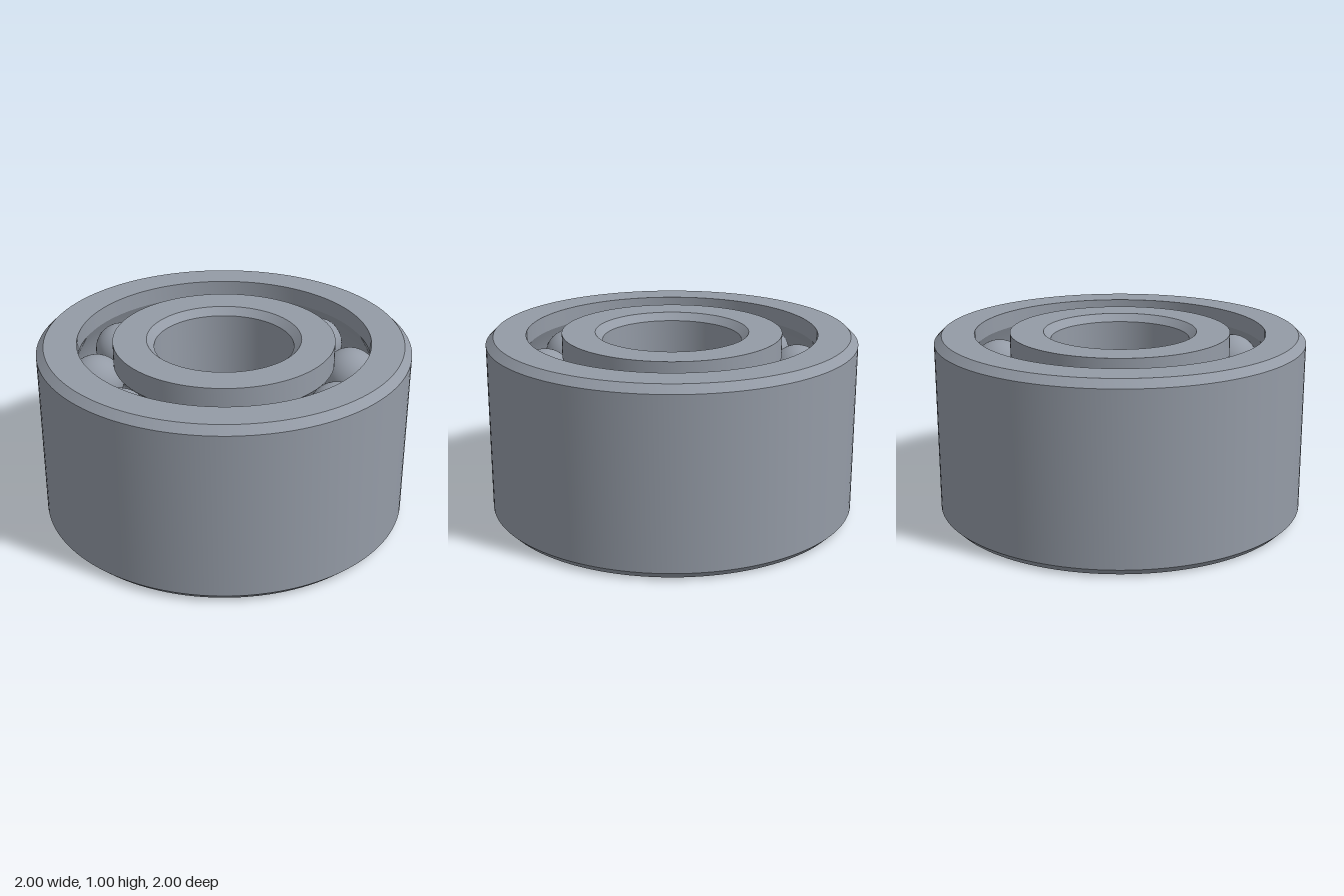
import * as THREE from 'three';
import { toCreasedNormals } from 'three/addons/utils/BufferGeometryUtils.js';

const MID = 0.5;            // mid height of the bearing
const CHAMFER = 0.04;
const BALL_R = 0.147;
const PITCH_R = 0.69;       // radius of the circle of ball centres
const ROW_OFFSET = 0.26;    // height of each ball row from the middle
const OUTER_BORE = 0.785;
const INNER_OD = 0.595;
const BORE = 0.375;
const BALLS = 10;

// Arc points (radius, height) around a centre on the profile plane
function arc(cr, cy, radius, from, to, steps) {
  return Array.from({ length: steps + 1 }, (_, i) => {
    const a = from + (to - from) * i / steps;
    return [cr + Math.cos(a) * radius, cy + Math.sin(a) * radius];
  });
}

// Revolve a closed counterclockwise profile, keeping its edges sharp
function ring(name, profile, material) {
  const points = [...profile, profile[0]].map(([r, y]) => new THREE.Vector2(r, y));
  const mesh = new THREE.Mesh(toCreasedNormals(new THREE.LatheGeometry(points, 128), 0.4), material);
  mesh.name = name;
  return mesh;
}

export function createModel() {
  const group = new THREE.Group();
  group.name = 'selfAligningBallBearing';
  const steel = new THREE.MeshStandardMaterial({ color: 0x949ba6 });
  steel.name = 'steel';

  // Outer ring: chamfered outside, spherical raceway inside
  const raceR = Math.hypot(PITCH_R, ROW_OFFSET) + BALL_R;
  const raceA = Math.acos(OUTER_BORE / raceR);
  group.add(ring('outerRing', [
    [1 - CHAMFER, 0], [1, CHAMFER], [1, 1 - CHAMFER], [1 - CHAMFER, 1],
    [OUTER_BORE, 1],
    ...arc(0, MID, raceR, raceA, -raceA, 16),
    [OUTER_BORE, 0],
  ], steel));

  // Inner ring: two ball grooves outside, chamfered bore
  const grooveA = Math.acos((PITCH_R - INNER_OD) / BALL_R);
  const groove = (y) => arc(PITCH_R, y, BALL_R, Math.PI + grooveA, Math.PI - grooveA, 14);
  group.add(ring('innerRing', [
    [INNER_OD, 0],
    ...groove(MID - ROW_OFFSET),
    ...groove(MID + ROW_OFFSET),
    [INNER_OD, 1],
    [BORE + CHAMFER, 1], [BORE, 1 - CHAMFER], [BORE, CHAMFER], [BORE + CHAMFER, 0],
  ], steel));

  // Two aligned rows of balls
  const ballGeometry = new THREE.SphereGeometry(BALL_R, 40, 24);
  for (const side of [-1, 1]) {
    const row = new THREE.Group();
    row.name = side > 0 ? 'upperBallRow' : 'lowerBallRow';
    row.position.y = MID + side * ROW_OFFSET;
    for (let i = 0; i < BALLS; i++) {
      const a = THREE.MathUtils.degToRad(12 + i * 360 / BALLS);
      const ball = new THREE.Mesh(ballGeometry, steel);
      ball.name = 'ball';
      ball.position.set(Math.cos(a) * PITCH_R, 0, Math.sin(a) * PITCH_R);
      row.add(ball);
    }
    group.add(row);
  }
  return group;
}
